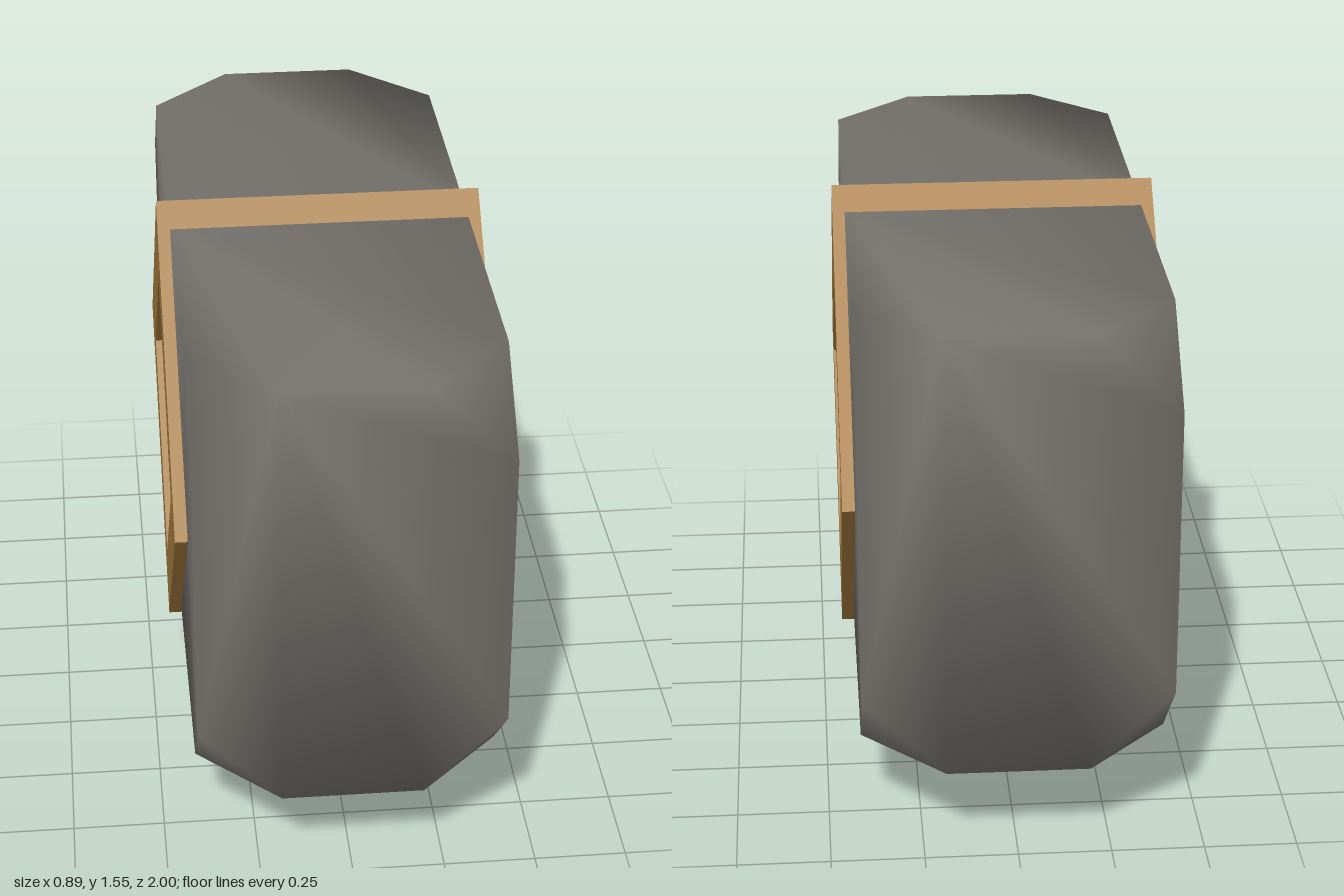
import * as THREE from 'three';
import { mergeVertices } from 'three/addons/utils/BufferGeometryUtils.js';

const MID = 0.873; // height of the head's centre
const HX = 0.41, HY = 0.617, HZ = 1, CUT = 0.22; // half sizes and corner cut

// One half of the stone head: a box with cut corners and a V notch for the frame
function halfHeadGeometry() {
  const pos = [];
  const v = (x, y, z) => new THREE.Vector3(x, y, z);
  // Fan of triangles from the first point, turned to face along 'out'
  const fan = (pts, out) => {
    for (let i = 1; i < pts.length - 1; i++) {
      const tri = [pts[0], pts[i], pts[i + 1]];
      const n = tri[1].clone().sub(tri[0]).cross(tri[2].clone().sub(tri[0]));
      if (n.dot(out) < 0) tri.reverse();
      tri.forEach((p) => pos.push(p.x, p.y, p.z));
    }
  };
  // Points of each corner, given the signs of x and y
  const T = (sx, sy) => v(sx * HX, sy * HY, 0.02);
  const A = (sx, sy) => v(sx * HX, sy * HY, HZ - CUT);
  const B = (sx, sy) => v(sx * (HX - CUT), sy * HY, HZ);
  const C = (sx, sy) => v(sx * HX, sy * (HY - CUT), HZ);

  for (const s of [1, -1]) {
    // top and bottom
    fan([T(-1, s), A(-1, s), B(-1, s), B(1, s), A(1, s), T(1, s)], v(0, s, 0));
    // sides, fanned from the tip of the notch
    fan([v(s * HX, 0, 0.6), T(s, 1), A(s, 1), C(s, 1), C(s, -1), A(s, -1), T(s, -1)], v(s, 0, 0));
    // cut corners
    for (const t of [1, -1]) fan([A(s, t), B(s, t), C(s, t)], v(s, t, 1));
  }
  // striking face
  fan([B(-1, 1), B(1, 1), C(1, 1), C(1, -1), B(1, -1), B(-1, -1), C(-1, -1), C(-1, 1)], v(0, 0, 1));

  let geo = new THREE.BufferGeometry();
  geo.setAttribute('position', new THREE.Float32BufferAttribute(pos, 3));
  geo = mergeVertices(geo, 1e-4);
  geo.computeVertexNormals();
  return geo;
}

// Diamond-shaped frame with a diamond opening, extruded along x
function frameGeometry(outer, inner, width) {
  const diamond = (r) => [[r, 0], [0, r], [-r, 0], [0, -r]].map(([a, b]) => new THREE.Vector2(a, b));
  const shape = new THREE.Shape(diamond(outer));
  shape.holes.push(new THREE.Path(diamond(inner).reverse()));
  const geo = new THREE.ExtrudeGeometry(shape, { depth: width, bevelEnabled: false });
  return geo.translate(0, 0, -width / 2).rotateY(Math.PI / 2);
}

export function createModel() {
  const model = new THREE.Group();
  const stone = new THREE.MeshStandardMaterial({ color: 0x75716c });
  stone.name = 'stone';
  const bronze = new THREE.MeshStandardMaterial({ color: 0xa67c40 });
  bronze.name = 'bronze';

  const add = (name, geo, mat, y) => {
    const mesh = new THREE.Mesh(geo, mat);
    mesh.name = name;
    mesh.position.y = y;
    model.add(mesh);
    return mesh;
  };

  // stone head halves
  const half = halfHeadGeometry();
  add('frontHead', half, stone, MID);
  add('backHead', half, stone, MID).rotation.y = Math.PI;

  // frame around the central opening
  add('frame', frameGeometry(0.676, 0.452, 0.888), bronze, MID);

  // six-sided socket and its stub
  add('socket', new THREE.CylinderGeometry(0.16, 0.144, 0.175, 6), bronze, 0.1775);
  add('stub', new THREE.CylinderGeometry(0.121, 0.112, 0.09, 6), bronze, 0.045);

  return model;
}
